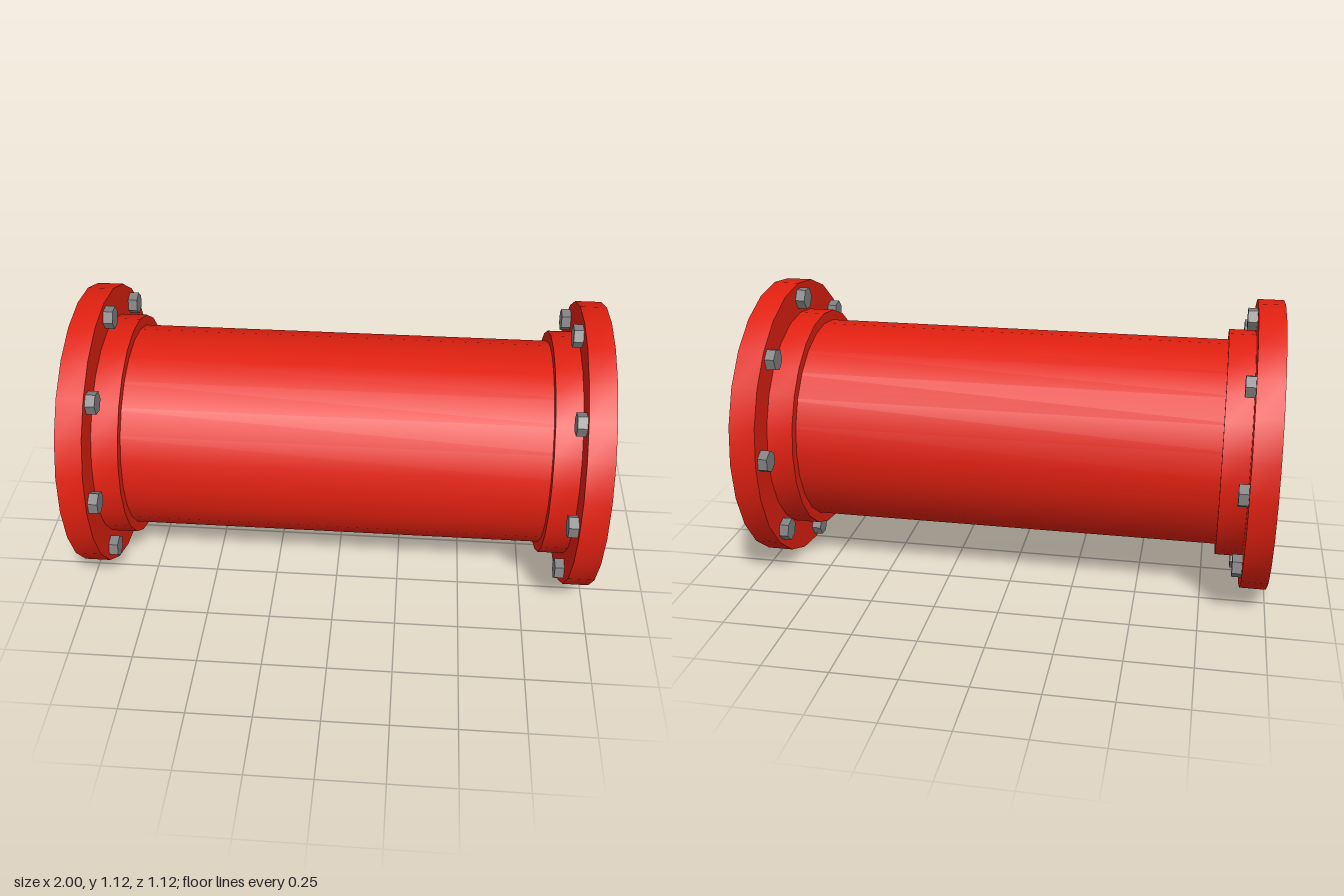
import * as THREE from 'three';
import { toCreasedNormals } from 'three/addons/utils/BufferGeometryUtils.js';

const SIDES = 24;
const BORE = 0.4;
const BOLTS = 8;
const BOLT_CIRCLE = 0.5;

export function createModel() {
  const red = new THREE.MeshStandardMaterial({ color: 0xe02010 });
  const redOpen = new THREE.MeshStandardMaterial({ color: 0xe02010, side: THREE.DoubleSide });
  const steel = new THREE.MeshStandardMaterial({ color: 0x808080, flatShading: true });

  // Everything is turned around the y axis, then laid along x
  const spool = new THREE.Group();
  spool.name = 'pipeSpool';
  spool.rotation.z = -Math.PI / 2;
  spool.position.y = 0.56;

  // Thin pipe wall running the whole length
  const pipe = new THREE.Mesh(new THREE.CylinderGeometry(BORE, BORE, 2, SIDES, 1, true), redOpen);
  pipe.name = 'pipe';
  spool.add(pipe);

  // Flange with its stepped collar, outer end at y = -1
  const profile = [[BORE, -1], [0.56, -1], [0.56, -0.9], [0.44, -0.9], [0.44, -0.8], [BORE, -0.8]]
    .map(([r, y]) => new THREE.Vector2(r, y));
  const flangeGeo = toCreasedNormals(new THREE.LatheGeometry(profile, SIDES), Math.PI / 6);
  const boltGeo = new THREE.CylinderGeometry(0.0435, 0.0435, 0.036, 6);

  ['right', 'left'].forEach((side, k) => {
    const end = new THREE.Group();
    end.name = side + 'End';
    end.rotation.x = k * Math.PI;

    const flange = new THREE.Mesh(flangeGeo, red);
    flange.name = side + 'Flange';
    end.add(flange);

    // Hex bolt heads on the inner face, flats facing the axis
    for (let i = 0; i < BOLTS; i++) {
      const a = (i / BOLTS) * Math.PI * 2;
      const bolt = new THREE.Mesh(boltGeo, steel);
      bolt.name = side + 'Bolt' + (i + 1);
      bolt.position.set(BOLT_CIRCLE * Math.sin(a), -0.882, BOLT_CIRCLE * Math.cos(a));
      bolt.rotation.y = a + Math.PI / 2;
      end.add(bolt);
    }
    spool.add(end);
  });

  const model = new THREE.Group();
  model.name = 'flangedPipe';
  model.add(spool);
  return model;
}
